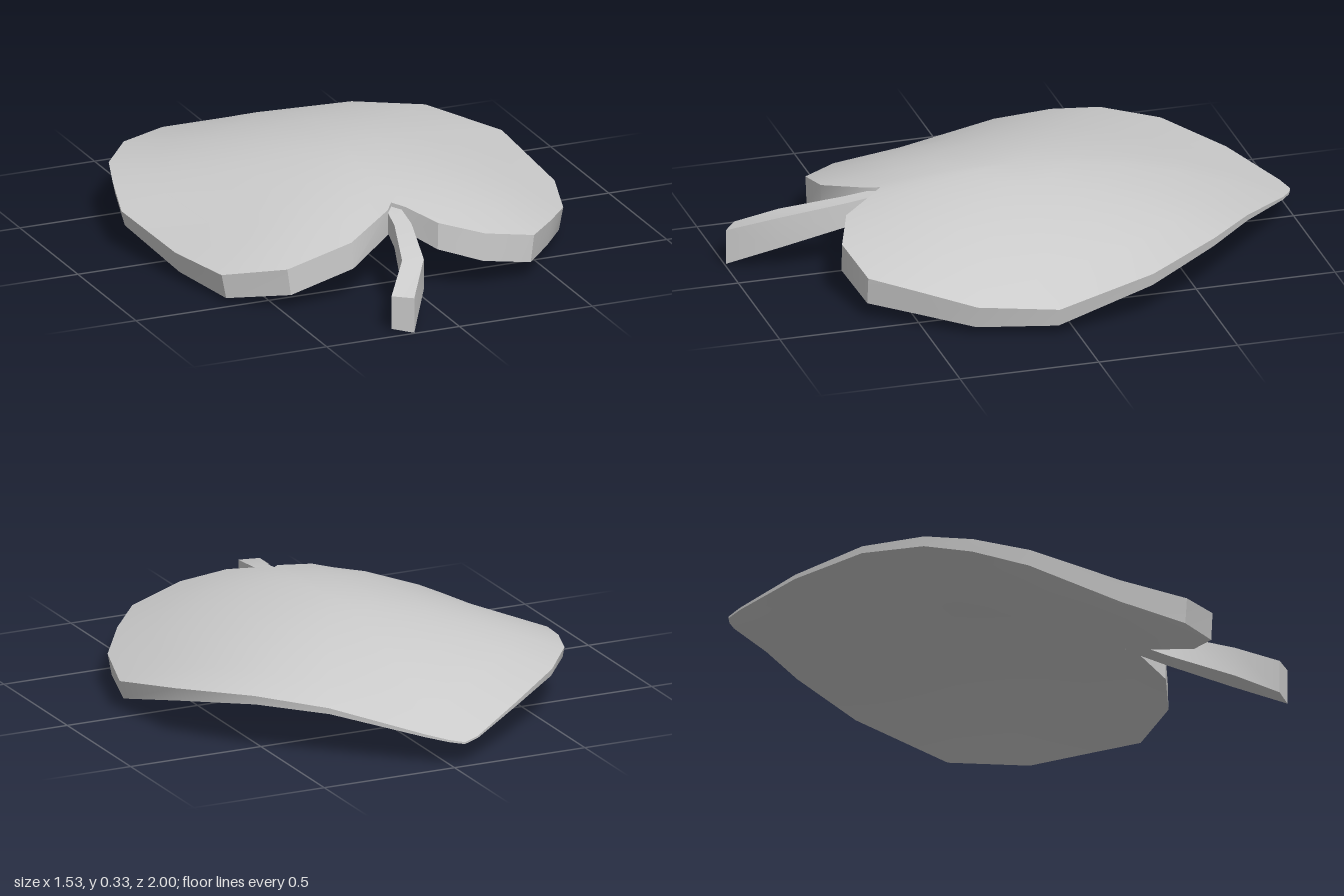
import * as THREE from 'three';
import { toCreasedNormals } from 'three/addons/utils/BufferGeometryUtils.js';

// Skin a list of closed rings (arrays of [x, y, z]) with equal point counts
function loft(rings, crease) {
  const n = rings[0].length;
  const index = [];
  for (let r = 0; r < rings.length - 1; r++) {
    for (let i = 0; i < n; i++) {
      const a = r * n + i, b = r * n + (i + 1) % n;
      index.push(a, b, b + n, a, b + n, a + n);
    }
  }
  const geometry = new THREE.BufferGeometry();
  geometry.setAttribute('position', new THREE.Float32BufferAttribute(rings.flat(2), 3));
  geometry.setIndex(index);
  return toCreasedNormals(geometry, crease);
}

// Leaf outline as [x, z], from the tip round the left side to the notch and back
const outline = [
  [-0.04, -1], [0.01, -0.98], [0.08, -0.94], [0.35, -0.73], [0.55, -0.55], [0.72, -0.28],
  [0.765, 0.07], [0.68, 0.34], [0.56, 0.51], [0.43, 0.66], [0.23, 0.695], [0.08, 0.635],
  [0.005, 0.52], [-0.03, 0.48], [-0.06, 0.52], [-0.245, 0.63], [-0.48, 0.615], [-0.66, 0.46],
  [-0.72, 0.2], [-0.77, -0.15], [-0.72, -0.34], [-0.665, -0.5], [-0.53, -0.68],
  [-0.31, -0.85], [-0.1, -0.98],
];

// Arched midrib with sides that droop more towards the front
function topHeight(x, z) {
  const midrib = 0.33 - 0.222 * (z - 0.04) ** 2;
  const droop = THREE.MathUtils.clamp(0.85 + 0.95 * z, 0, 1);
  return midrib - droop * 0.39 * Math.abs(x) ** 1.8;
}

// The blade is thick at the front and thin at the tip
const thickness = (z) => 0.062 + 0.055 * z;

function leafRing(scale, under) {
  return outline.map(([ox, oz]) => {
    const x = ox * scale, z = oz * scale;
    const t = under ? thickness(z) : 0;
    return [x * (1 - 0.3 * t), topHeight(x, z) - t, z];
  });
}

function leafBlade() {
  const steps = [0, 0.2, 0.4, 0.6, 0.8, 1];
  const top = steps.map((s) => leafRing(s, false));
  const bottom = steps.map((s) => leafRing(s, true)).reverse();
  return loft([...top, ...bottom], 0.6);
}

// Stem cross-sections: left edge, right edge, top and bottom
function stem() {
  const sections = [
    { l: [0.0, 0.46], r: [-0.05, 0.46], top: 0.275, bottom: 0.2 },
    { l: [-0.01, 0.61], r: [-0.07, 0.6], top: 0.25, bottom: 0.16 },
    { l: [-0.06, 0.83], r: [-0.135, 0.815], top: 0.203, bottom: 0.09 },
    { l: [-0.168, 0.995], r: [-0.232, 0.945], top: 0.13, bottom: 0.003 },
  ];
  const rings = sections.map(({ l, r, top, bottom }) => [
    [l[0], top, l[1]], [r[0], top, r[1]], [r[0], bottom + 0.007, r[1]], [l[0], bottom, l[1]],
  ]);
  // Close both ends with a ring collapsed to its centre
  const cap = (ring) => {
    const centre = [0, 1, 2].map((k) => ring.reduce((sum, p) => sum + p[k], 0) / ring.length);
    return ring.map(() => centre);
  };
  return loft([cap(rings[0]), ...rings, cap(rings[rings.length - 1])], 0.6);
}

export function createModel() {
  const group = new THREE.Group();
  group.name = 'leaf';
  const material = new THREE.MeshStandardMaterial({ color: 0xcccccc });
  for (const [name, geometry] of [['leafBlade', leafBlade()], ['stem', stem()]]) {
    const mesh = new THREE.Mesh(geometry, material);
    mesh.name = name;
    group.add(mesh);
  }
  return group;
}
